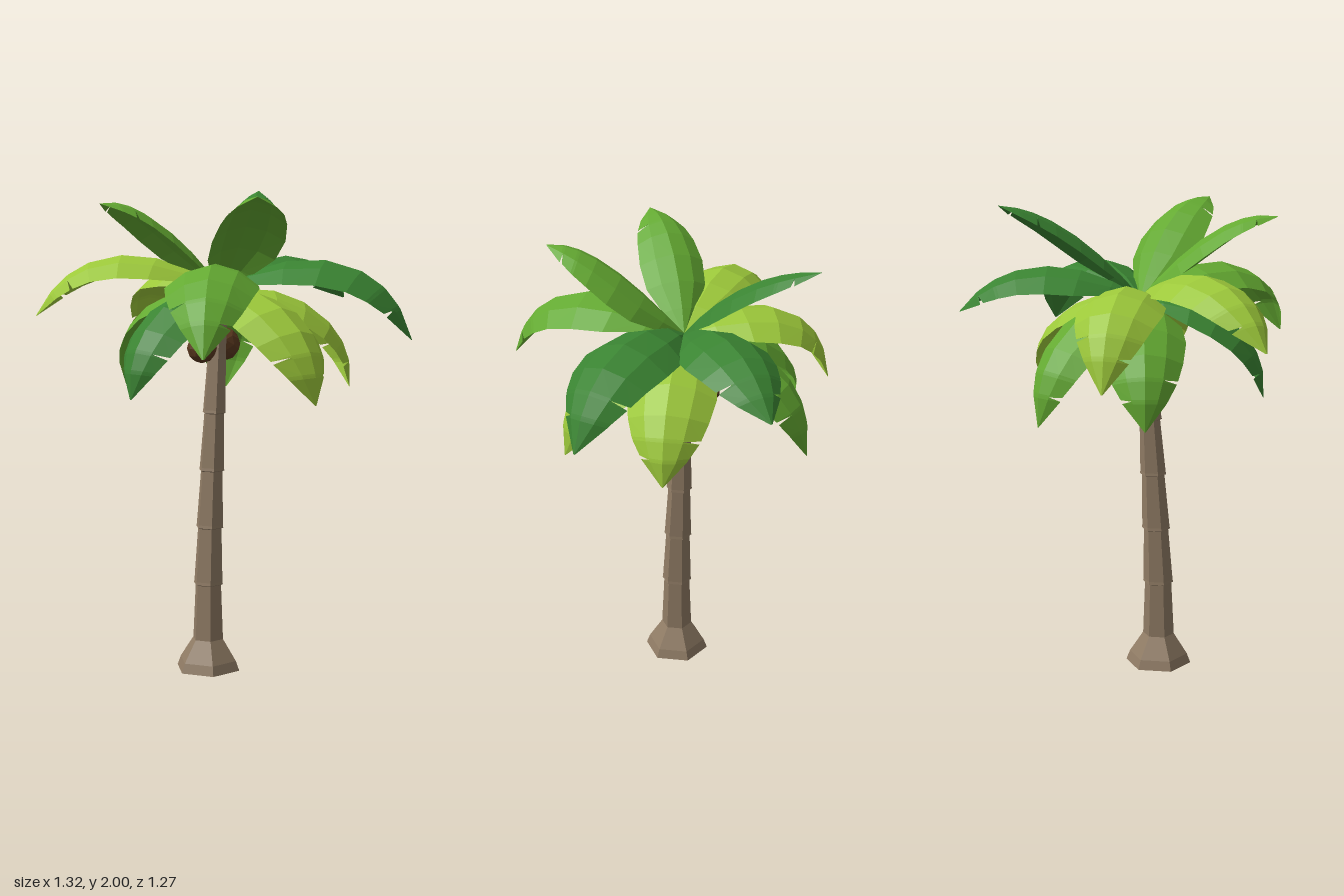
import * as THREE from 'three';

const flat = (name, color, side = THREE.FrontSide) => {
  const m = new THREE.MeshStandardMaterial({ color, flatShading: true, side });
  m.name = name;
  return m;
};

// Frond outline: [position along the rib, half width, left edge, right edge];
// an edge below 1 makes a torn slit.
const OUTLINE = [
  [0, 0.08, 1, 1], [0.14, 0.55, 1, 1], [0.3, 0.93, 1, 1], [0.47, 1, 1, 1],
  [0.64, 0.9, 1, 1], [0.755, 0.77, 1, 1], [0.765, 0.75, 0.58, 1], [0.775, 0.74, 1, 1],
  [0.86, 0.55, 1, 1], [0.868, 0.53, 1, 0.58], [0.88, 0.5, 1, 1.03], [1, 0.02, 1, 1],
];

// Arched leaf blade swept along a curved rib; the bends are [share of the reach, height],
// and bow pushes the rib sideways
function frondGeometry(base, tip, bend1, bend2, width, bow, flip) {
  const side = new THREE.Vector3(base.z - tip.z, 0, tip.x - base.x).normalize();
  const bends = [bend1, bend2].map(([share, y]) =>
    base.clone().lerp(tip, share).setY(y).addScaledVector(side, bow));
  const rib = new THREE.CubicBezierCurve3(base, ...bends, tip);
  const pos = [], index = [];
  OUTLINE.forEach(([t, w, left, right], i) => {
    const centre = rib.getPoint(t);
    const up = new THREE.Vector3().crossVectors(side, rib.getTangent(t)).normalize();
    const [a, b] = flip ? [right, left] : [left, right];
    [[-a, 0.5 * a * a], [-0.55, 0.16], [0, 0], [0.55, 0.16], [b, 0.5 * b * b]].forEach(([u, drop]) => {
      const p = centre.clone().addScaledVector(side, u * w * width).addScaledVector(up, -drop * w * width);
      pos.push(p.x, p.y, p.z);
    });
    if (i === 0) return;
    for (let c = 0; c < 4; c++) {
      const q = i * 5 + c, o = q - 5;
      index.push(o, q, o + 1, o + 1, q, q + 1);
    }
  });
  const g = new THREE.BufferGeometry();
  g.setAttribute('position', new THREE.Float32BufferAttribute(pos, 3));
  g.setIndex(index);
  const out = g.toNonIndexed();
  out.computeVertexNormals();
  return out;
}

export function createModel() {
  const group = new THREE.Group();
  const bark = flat('bark', 0x8f7b64);
  const shell = flat('coconut shell', 0x5c3a20);
  const lime = flat('lime leaf', 0x9cc83a, THREE.DoubleSide);
  const mid = flat('green leaf', 0x64aa32, THREE.DoubleSide);
  const dark = flat('deep green leaf', 0x3a8432, THREE.DoubleSide);
  const add = (name, geometry, material) => {
    const mesh = new THREE.Mesh(geometry, material);
    mesh.name = name;
    group.add(mesh);
    return mesh;
  };

  // Six-sided trunk: wide foot, then tapering segments with a small lip at each joint
  const profile = [[0, 0], [0.14, 0], [0.125, 0.04], [0.067, 0.13]];
  [0.37, 0.61, 0.85, 1.09].forEach((y, i) => {
    const r = 0.057 - i * 0.0045;
    profile.push([r, y - 0.008], [r + 0.008, y - 0.004], [r + 0.006, y + 0.008]);
  });
  profile.push([0.04, 1.33], [0.034, 1.57], [0, 1.58]);
  const trunk = new THREE.LatheGeometry(profile.map(p => new THREE.Vector2(...p)), 6);
  trunk.rotateY(Math.PI / 2);
  const tp = trunk.attributes.position;
  for (let i = 0; i < tp.count; i++) {
    const h = Math.max(0, tp.getY(i) - 0.25) / 1.35;
    tp.setXYZ(i, tp.getX(i) - 0.182 + 0.08 * Math.pow(h, 1.35), tp.getY(i), tp.getZ(i) + 0.01 - 0.013 * h);
  }
  trunk.computeVertexNormals();
  add('trunk', trunk, bark);

  // Coconuts under the crown
  [[-0.212, 1.358, 0.012, 0.062], [-0.04, 1.362, -0.06, 0.072]].forEach(([x, y, z, r]) => {
    add('coconut', new THREE.IcosahedronGeometry(r, 1), shell).position.set(x, y, z);
  });

  // Fronds: name, material, tip x y z, first bend, second bend, half width, bow
  const low1 = [0.4, 1.67], low2 = [1.07, 1.48];
  const fronds = [
    ['upperFrond', dark, 0.41, 2.0, -0.36, [0.3, 1.82], [0.64, 1.98], 0.125, 0.04],
    ['upperFrond', mid, -0.33, 1.97, 0.5, [0.3, 1.79], [0.65, 2.0], 0.15, -0.05],
    ['upperFrond', mid, -0.66, 1.945, -0.06, [0.3, 1.79], [0.65, 1.98], 0.135, 0.03],
    ['middleFrond', dark, 0.655, 1.53, -0.06, [0.35, 1.77], [0.75, 1.78], 0.18, 0],
    ['middleFrond', dark, 0.38, 1.4, 0.63, [0.35, 1.79], [0.88, 1.78], 0.19, 0],
    ['middleFrond', mid, -0.65, 1.38, 0.57, [0.35, 1.79], [0.88, 1.77], 0.185, 0],
    ['middleFrond', lime, -0.655, 1.48, -0.545, [0.37, 1.8], [0.8, 1.79], 0.175, 0],
    ['middleFrond', lime, -0.04, 1.32, -0.635, [0.4, 1.75], [0.95, 1.71], 0.175, 0],
    ['lowerFrond', dark, -0.61, 1.18, 0.06, low1, low2, 0.17, 0],
    ['lowerFrond', lime, -0.06, 1.16, 0.54, low1, low2, 0.195, 0],
    ['lowerFrond', lime, 0.375, 1.18, 0.275, low1, low2, 0.18, 0],
    ['lowerFrond', mid, 0.255, 1.13, -0.405, low1, low2, 0.17, 0],
    ['lowerFrond', mid, -0.195, 1.16, -0.545, low1, low2, 0.17, 0],
  ];
  fronds.forEach(([name, material, x, y, z, bend1, bend2, width, bow], i) => {
    const base = new THREE.Vector3(-0.1, name === 'lowerFrond' ? 1.57 : 1.6, 0);
    const tip = new THREE.Vector3(x, y, z);
    add(name, frondGeometry(base, tip, bend1, bend2, width, bow, i % 2 === 1), material);
  });
  return group;
}
